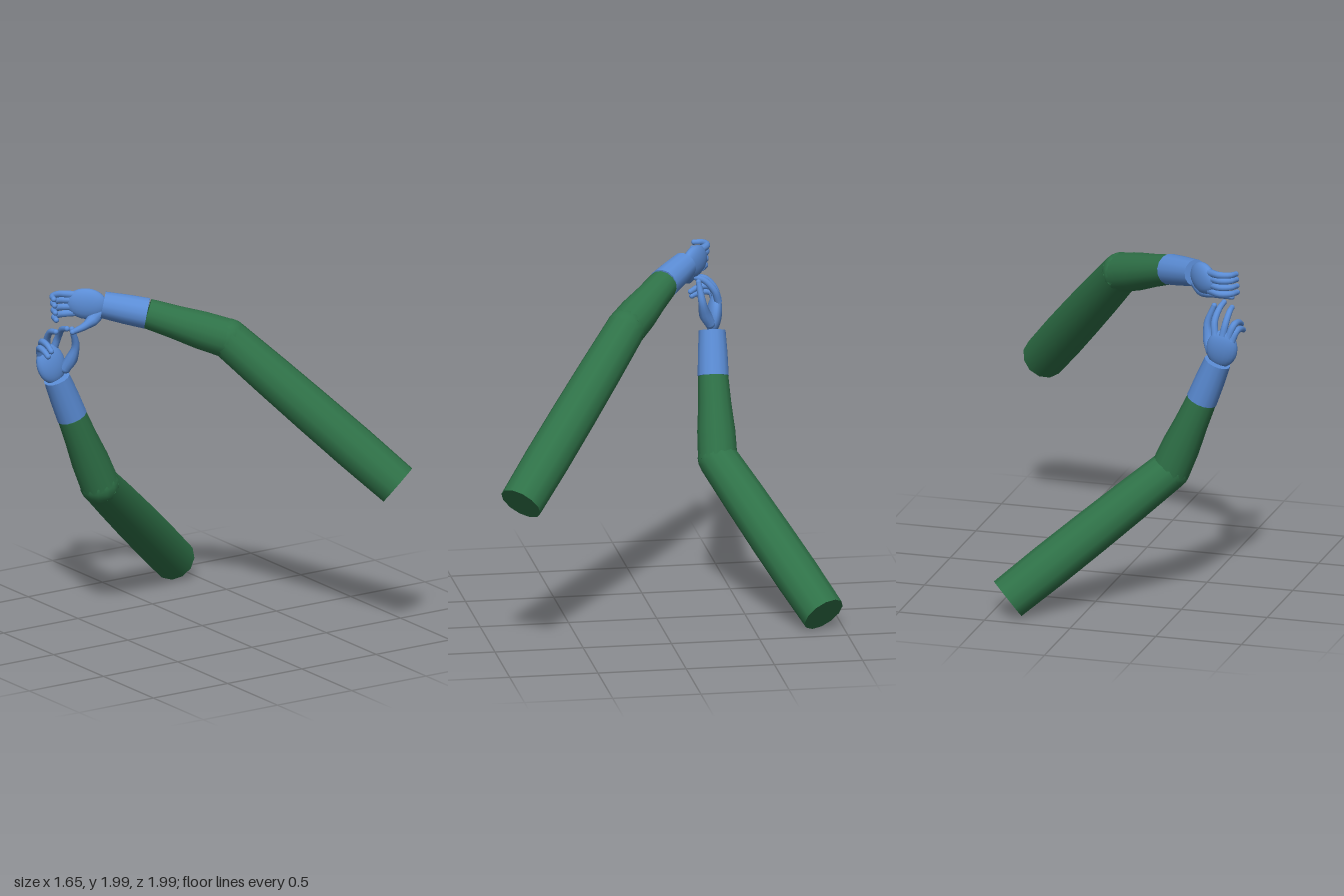
import * as THREE from 'three';
import { mergeGeometries } from 'three/addons/utils/BufferGeometryUtils.js';

const V = (p) => new THREE.Vector3(...p);

// Tube along the points whose radius follows the list, closed by flat caps
function taper(points, radii, sides, steps) {
  const curve = new THREE.CatmullRomCurve3(points.map(V));
  const tube = new THREE.TubeGeometry(curve, steps, 1, sides, false);
  const pos = tube.attributes.position;
  const v = new THREE.Vector3();
  for (let i = 0; i <= steps; i++) {
    const f = (i / steps) * (radii.length - 1);
    const k = Math.min(Math.floor(f), radii.length - 2);
    const r = THREE.MathUtils.lerp(radii[k], radii[k + 1], f - k);
    const c = curve.getPointAt(i / steps);
    for (let j = 0; j <= sides; j++) {
      const n = i * (sides + 1) + j;
      v.fromBufferAttribute(pos, n).sub(c).multiplyScalar(r).add(c);
      pos.setXYZ(n, v.x, v.y, v.z);
    }
  }
  const caps = [0, steps].map((ring) => {
    const corners = [curve.getPointAt(ring / steps)];
    for (let j = 0; j <= sides; j++) {
      corners.push(new THREE.Vector3().fromBufferAttribute(pos, ring * (sides + 1) + j));
    }
    const index = [];
    for (let j = 1; j <= sides; j++) index.push(0, ...(ring ? [j + 1, j] : [j, j + 1]));
    const cap = new THREE.BufferGeometry().setFromPoints(corners);
    cap.setIndex(index);
    cap.computeVertexNormals();
    return cap;
  });
  tube.deleteAttribute('uv');
  return mergeGeometries([tube, ...caps]);
}

// Each arm lists its joints in space; fingers run from knuckle to tip
const ARMS = [
  {
    name: 'upperArmPose',
    shoulder: [0.72, 0.935, 0.89], elbow: [0.055, 1.725, 0.185],
    cuff: [-0.31, 1.865, -0.09], wrist: [-0.505, 1.91, -0.24],
    palm: [-0.57, 1.91, -0.31], along: [-0.75, 0.04, -0.65], across: [0, 1, 0],
    fingers: [1.965, 1.93, 1.89, 1.85].map((y, i) => [
      [-0.62, 1.91 + (y - 1.91) * 0.9, -0.355],
      [-0.69, y, -0.4 + i * 0.004],
      [-0.75, y, -0.385 + i * 0.006],
      [-0.77, y - 0.004, -0.34 + i * 0.008],
    ]),
    thumb: [[-0.51, 1.86, -0.26], [-0.56, 1.82, -0.27], [-0.63, 1.8, -0.25], [-0.715, 1.787, -0.235]],
  },
  {
    name: 'lowerArmPose',
    shoulder: [0.4, 0.108, -0.88], elbow: [-0.41, 0.8, -0.415],
    cuff: [-0.595, 1.23, -0.42], wrist: [-0.69, 1.465, -0.43],
    palm: [-0.72, 1.55, -0.445], along: [-0.22, 0.96, -0.15], across: [0.97, 0.22, 0],
    fingers: [
      [[-0.78, 1.6, -0.46], [-0.8, 1.655, -0.44], [-0.81, 1.655, -0.38], [-0.812, 1.635, -0.335]],
      [[-0.76, 1.62, -0.465], [-0.785, 1.69, -0.44], [-0.795, 1.69, -0.37], [-0.797, 1.665, -0.325]],
      [[-0.73, 1.63, -0.47], [-0.742, 1.7, -0.45], [-0.75, 1.755, -0.4], [-0.75, 1.765, -0.35]],
      [[-0.685, 1.63, -0.465], [-0.675, 1.7, -0.44], [-0.685, 1.76, -0.385], [-0.695, 1.782, -0.32]],
    ],
    thumb: [[-0.645, 1.52, -0.41], [-0.625, 1.58, -0.38], [-0.61, 1.66, -0.36], [-0.645, 1.765, -0.345]],
  },
];

export function createModel() {
  const sleeveGreen = new THREE.MeshStandardMaterial({ color: 0x2f7248 });
  const gloveBlue = new THREE.MeshStandardMaterial({ color: 0x5b8dd6 });
  const model = new THREE.Group();
  model.name = 'pairOfArms';

  for (const arm of ARMS) {
    const group = new THREE.Group();
    group.name = arm.name;
    model.add(group);
    const add = (name, geometry, material) => {
      const mesh = new THREE.Mesh(geometry, material);
      mesh.name = name;
      group.add(mesh);
      return mesh;
    };
    const ball = (name, p, r, material) =>
      add(name, new THREE.SphereGeometry(r, 14, 10), material).position.set(...p);

    // Sleeve: upper arm, elbow and forearm
    add('upperSleeve', taper([arm.shoulder, arm.elbow], [0.124, 0.128, 0.126, 0.121, 0.113], 12, 12), sleeveGreen);
    ball('elbow', arm.elbow, 0.113, sleeveGreen);
    add('forearmSleeve', taper([arm.elbow, arm.cuff], [0.112, 0.108, 0.094, 0.085], 14, 9), sleeveGreen);

    // Glove cuff
    add('cuff', taper([arm.cuff, arm.wrist], [0.088, 0.084, 0.076], 14, 4), gloveBlue);

    // Flat rounded palm, turned to the hand's axes
    const along = V(arm.along).normalize();
    const thick = V(arm.across).cross(along).normalize();
    const across = along.clone().cross(thick);
    const palm = add('palm', new THREE.SphereGeometry(1, 20, 14), gloveBlue);
    palm.quaternion.setFromRotationMatrix(new THREE.Matrix4().makeBasis(across, along, thick));
    palm.scale.set(0.09, 0.115, 0.043);
    palm.position.set(...arm.palm);

    // Fingers and thumb with rounded tips
    for (const path of arm.fingers) {
      add('finger', taper(path, [0.022, 0.02, 0.018, 0.015], 10, 12), gloveBlue);
      ball('fingertip', path[3], 0.0155, gloveBlue);
    }
    add('thumb', taper(arm.thumb, [0.03, 0.037, 0.024, 0.019, 0.015], 10, 14), gloveBlue);
    ball('thumbBase', arm.thumb[0], 0.03, gloveBlue);
    ball('thumbTip', arm.thumb[3], 0.0155, gloveBlue);
  }
  return model;
}
